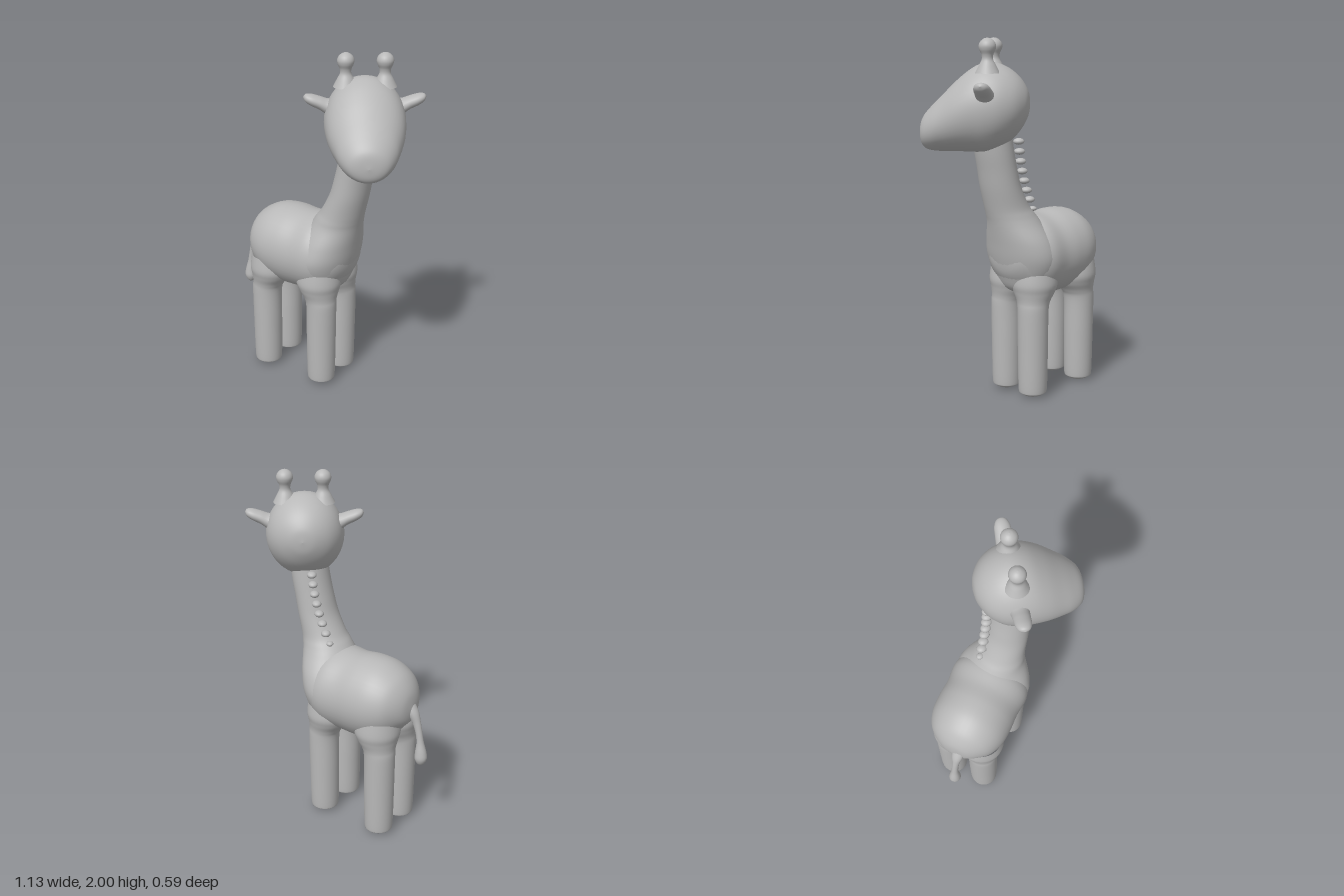
import * as THREE from 'three';

const grey = new THREE.MeshStandardMaterial({ color: 0xb8b8b8 });
grey.name = 'plain grey';

// Catmull-Rom blend of four rows of numbers
function blend(p, q, r, s, u) {
  return q.map((v, k) =>
    v + 0.5 * u * (r[k] - p[k] + u * (2 * p[k] - 5 * v + 4 * r[k] - s[k] + u * (3 * (v - r[k]) + s[k] - p[k]))));
}

// Smooth tube through elliptical sections [t, a, ra, b, rb].
// axis 'x': t,a,b = x,y,z   axis 'y': t,a,b = y,z,x   axis 'z': t,a,b = z,x,y
function loft(axis, rows, sides = 40, steps = 6) {
  const shift = { x: 0, y: 1, z: 2 }[axis];
  const rings = [];
  const last = rows.length - 1;
  for (let i = 0; i < last; i++) {
    for (let k = 0; k < steps; k++) {
      rings.push(blend(rows[Math.max(i - 1, 0)], rows[i], rows[i + 1], rows[Math.min(i + 2, last)], k / steps));
    }
  }
  rings.push(rows[last]);
  const pos = [], index = [];
  rings.forEach(([t, a, ra, b, rb], i) => {
    for (let j = 0; j < sides; j++) {
      const ang = (j / sides) * Math.PI * 2;
      const p = [t, a + Math.max(ra, 0) * Math.cos(ang), b + Math.max(rb, 0) * Math.sin(ang)];
      for (let c = 0; c < 3; c++) pos.push(p[(c - shift + 3) % 3]);
      if (i < rings.length - 1) {
        const j2 = (j + 1) % sides, o = i * sides, n = o + sides;
        index.push(o + j, o + j2, n + j, o + j2, n + j2, n + j);
      }
    }
  });
  const g = new THREE.BufferGeometry();
  g.setAttribute('position', new THREE.Float32BufferAttribute(pos, 3));
  g.setIndex(index);
  g.computeVertexNormals();
  return g;
}

function add(parent, name, geometry, x = 0, y = 0, z = 0) {
  const m = new THREE.Mesh(geometry, grey);
  m.name = name;
  m.position.set(x, y, z);
  parent.add(m);
  return m;
}

export function createModel() {
  const model = new THREE.Group();
  model.name = 'giraffe';
  const midZ = -0.057;

  // Barrel-shaped trunk, rump to chest
  add(model, 'body', loft('x', [
    [-0.477, 0.80, 0, midZ, 0],
    [-0.465, 0.805, 0.08, midZ, 0.075],
    [-0.43, 0.815, 0.135, midZ, 0.14],
    [-0.38, 0.81, 0.185, midZ, 0.19],
    [-0.30, 0.805, 0.226, midZ, 0.222],
    [-0.20, 0.80, 0.24, midZ, 0.229],
    [-0.10, 0.795, 0.235, midZ, 0.225],
    [0.00, 0.80, 0.235, midZ, 0.232],
    [0.07, 0.80, 0.21, midZ, 0.212],
    [0.13, 0.81, 0.17, midZ, 0.175],
    [0.18, 0.82, 0.10, midZ, 0.11],
    [0.20, 0.82, 0, midZ, 0],
  ]));

  // Neck, flaring down into the chest
  add(model, 'neck', loft('y', [
    [0.58, midZ, 0, 0.04, 0],
    [0.62, midZ, 0.13, 0.04, 0.09],
    [0.70, midZ, 0.195, 0.025, 0.145],
    [0.80, midZ, 0.225, 0.035, 0.165],
    [0.90, midZ, 0.205, 0.06, 0.16],
    [1.00, -0.05, 0.155, 0.095, 0.145],
    [1.05, -0.043, 0.137, 0.118, 0.134],
    [1.10, -0.038, 0.126, 0.144, 0.121],
    [1.20, -0.035, 0.12, 0.183, 0.107],
    [1.30, -0.035, 0.116, 0.208, 0.102],
    [1.40, -0.035, 0.114, 0.23, 0.101],
    [1.52, -0.035, 0.11, 0.25, 0.10],
  ]));

  // Four legs, leaning into the trunk at the top
  for (const [end, x, inX] of [['front', 0.055, -1], ['rear', -0.335, 1]]) {
    for (const [side, z, inZ] of [['Left', 0.05, -1], ['Right', -0.158, 1]]) {
      const leg = [
        [0.004, 0, 0], [0.012, 0.045, 0], [0.03, 0.072, 0], [0.06, 0.081, 0], [0.3, 0.085, 0],
        [0.5, 0.087, 0], [0.56, 0.095, 0.01], [0.61, 0.117, 0.025], [0.66, 0.13, 0.03], [0.74, 0.12, 0.03],
      ].map(([y, r, d]) => [y, z + inZ * d * 0.6, r, x + inX * d, r]);
      add(model, end + side + 'Leg', loft('y', leg, 32));
    }
  }

  // Tail with a teardrop tuft
  const tailZ = -0.04;
  add(model, 'tail', loft('y', [
    [0.46, tailZ, 0, -0.528, 0],
    [0.468, tailZ, 0.02, -0.529, 0.02],
    [0.50, tailZ, 0.034, -0.53, 0.035],
    [0.54, tailZ, 0.031, -0.529, 0.032],
    [0.60, tailZ, 0.021, -0.523, 0.021],
    [0.66, tailZ, 0.019, -0.512, 0.02],
    [0.72, tailZ, 0.023, -0.493, 0.026],
    [0.78, tailZ, 0.035, -0.465, 0.035],
    [0.84, tailZ, 0.035, -0.43, 0.03],
  ], 20));

  // Row of beads down the back of the neck
  const mane = new THREE.Group();
  mane.name = 'mane';
  model.add(mane);
  const bead = new THREE.SphereGeometry(1, 16, 12);
  for (let i = 0; i < 8; i++) {
    const u = i / 7;
    const y = 1.075 + 0.38 * u;
    const x = 0.03 + 0.2 * u - 0.085 * u * u;
    const m = add(mane, 'maneBead', bead, x, y, -0.13 - 0.005 * u);
    const size = i === 0 ? 0.75 : 1;
    m.scale.set(0.03 * size, 0.018 * size, 0.026 * size);
    m.rotation.y = -0.75;
  }

  // Head, turned towards the viewer's right
  const head = new THREE.Group();
  head.name = 'head';
  head.position.set(0.262, 0, -0.045);
  head.rotation.y = 0.628;
  model.add(head);
  add(head, 'skull', loft('z', [
    [-0.207, 0, 0, 1.66, 0],
    [-0.195, 0, 0.07, 1.66, 0.07],
    [-0.15, 0, 0.145, 1.655, 0.145],
    [-0.08, 0, 0.194, 1.648, 0.205],
    [0.00, 0, 0.213, 1.64, 0.236],
    [0.08, 0, 0.213, 1.628, 0.226],
    [0.16, 0, 0.20, 1.60, 0.196],
    [0.24, 0, 0.173, 1.562, 0.158],
    [0.30, 0, 0.148, 1.533, 0.128],
    [0.35, 0, 0.11, 1.512, 0.095],
    [0.372, 0, 0.065, 1.505, 0.058],
    [0.38, 0, 0, 1.50, 0],
  ]));

  // Ears and knobbed horns on both sides
  const ear = loft('x', [
    [0.14, 1.70, 0.055, 0, 0.065],
    [0.19, 1.71, 0.045, 0, 0.05],
    [0.235, 1.733, 0.036, 0, 0.046],
    [0.28, 1.75, 0.031, 0, 0.042],
    [0.31, 1.76, 0.02, 0, 0.027],
    [0.322, 1.764, 0, 0, 0],
  ], 24);
  const horn = loft('y', [
    [1.82, 0, 0.065, 0, 0.065], [1.86, 0, 0.045, 0, 0.045], [1.89, 0, 0.03, 0, 0.03],
    [1.915, 0, 0.031, 0, 0.031], [1.94, 0, 0.042, 0, 0.042], [1.96, 0, 0.045, 0, 0.045],
    [1.98, 0, 0.037, 0, 0.037], [1.995, 0, 0.019, 0, 0.019], [2.0, 0, 0, 0, 0],
  ], 24);
  for (const [side, s] of [['left', 1], ['right', -1]]) {
    add(head, side + 'Ear', ear).rotation.y = s > 0 ? 0 : Math.PI;
    add(head, side + 'Horn', horn, s * 0.102);
  }
  return model;
}
